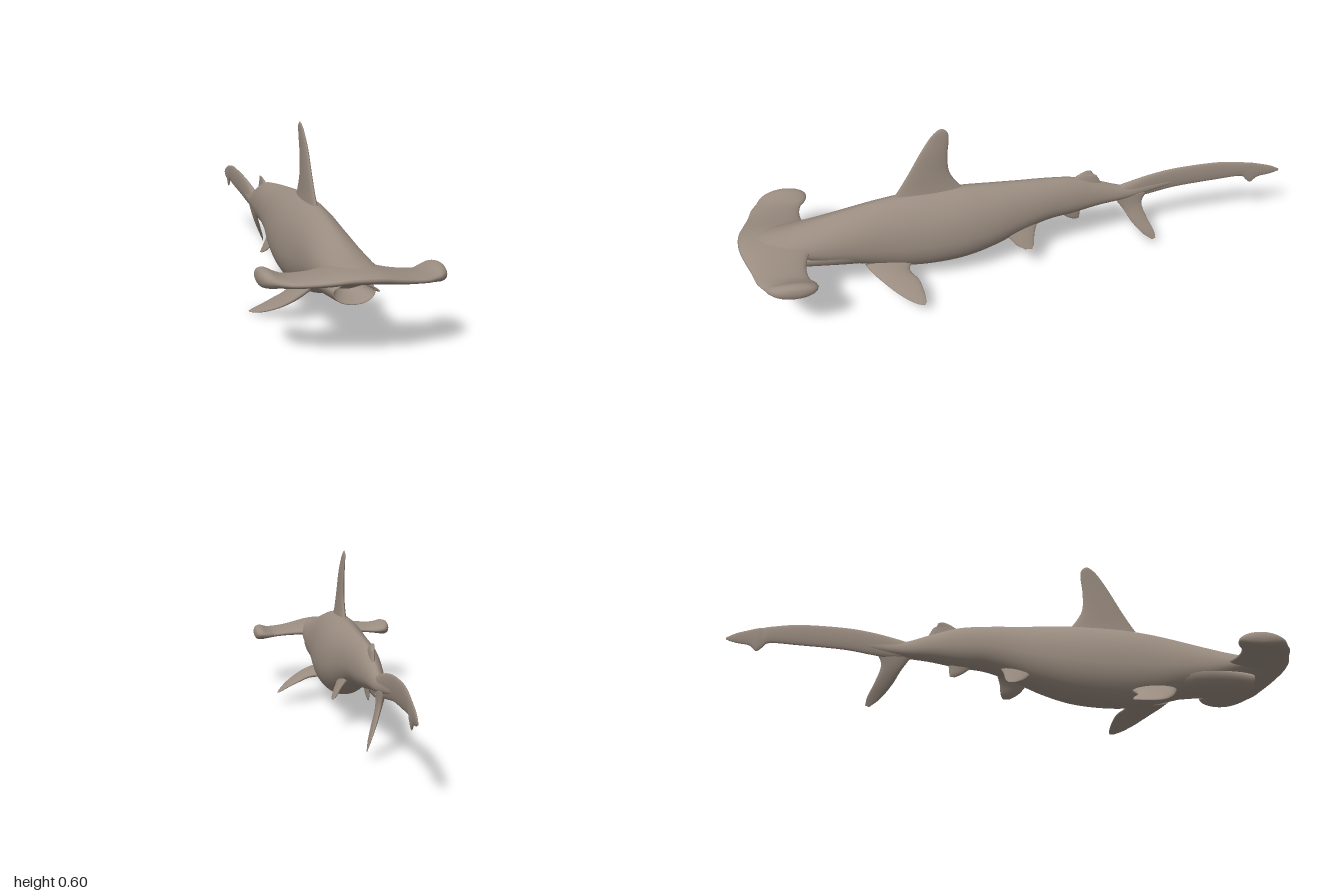
import * as THREE from 'three';

const skin = new THREE.MeshStandardMaterial({ color: 0x9a8c80 });
skin.name = 'grey brown skin';

// Smoothly resample rows of numbers, n steps between neighbours
function resample(rows, n) {
  const size = rows[0].length;
  const curve = new THREE.CubicInterpolant(rows.map((_, i) => i), rows.flat(), size, new Float32Array(size));
  const out = [];
  const last = (rows.length - 1) * n;
  for (let i = 0; i <= last; i++) out.push(Array.from(curve.evaluate(i / n)));
  return out;
}

// Closed skin through rings of equal point count, capped at both ends
function loft(name, rings) {
  const m = rings[0].length, pos = [];
  let index = [];
  rings.forEach(r => r.forEach(p => pos.push(p.x, p.y, p.z)));
  for (let i = 0; i < rings.length - 1; i++) {
    for (let j = 0; j < m; j++) {
      const a = i * m + j, b = i * m + (j + 1) % m;
      index.push(a, b, a + m, b, b + m, a + m);
    }
  }
  [0, rings.length - 1].forEach((r, end) => {
    const c = new THREE.Vector3();
    rings[r].forEach(p => c.addScaledVector(p, 1 / m));
    const k = pos.length / 3;
    pos.push(c.x, c.y, c.z);
    for (let j = 0; j < m; j++) {
      const a = r * m + j, b = r * m + (j + 1) % m;
      if (end) index.push(a, b, k); else index.push(b, a, k);
    }
  });
  // Turn the faces outward using the signed volume
  const v = i => new THREE.Vector3().fromArray(pos, i * 3);
  let volume = 0;
  for (let i = 0; i < index.length; i += 3) {
    volume += v(index[i]).dot(v(index[i + 1]).cross(v(index[i + 2])));
  }
  if (volume < 0) index = index.reverse();
  const g = new THREE.BufferGeometry();
  g.setAttribute('position', new THREE.Float32BufferAttribute(pos, 3));
  g.setIndex(index);
  g.computeVertexNormals();
  const mesh = new THREE.Mesh(g, skin);
  mesh.name = name;
  return mesh;
}

// Trunk from stations [z, top, bottom, halfWidth, centreX], widest below the middle
function trunk(name, stations, belly = 0.42) {
  return loft(name, resample(stations, 6).map(([z, top, bottom, w, x]) => {
    const mid = bottom + (top - bottom) * belly, ring = [];
    for (let j = 0; j < 40; j++) {
      const t = j / 40 * Math.PI * 2, c = Math.cos(t), s = Math.sin(t);
      const px = s > 0 ? Math.sign(c) * Math.abs(c) ** 1.2 : c;
      ring.push(new THREE.Vector3(x + w * px, mid + s * (s > 0 ? top - mid : mid - bottom), z));
    }
    return ring;
  }));
}

// Fin from sections [leading xyz, trailing xyz, halfThickness]
function fin(name, sections, normal) {
  const up = new THREE.Vector3(...normal).normalize();
  return loft(name, resample(sections, 6).map(s => {
    const lead = new THREE.Vector3(s[0], s[1], s[2]), trail = new THREE.Vector3(s[3], s[4], s[5]);
    const ring = [];
    for (let j = 0; j < 24; j++) {
      const t = j / 24 * Math.PI * 2;
      ring.push(lead.clone().lerp(trail, (1 - Math.cos(t)) / 2)
        .addScaledVector(up, Math.sin(t) * Math.max(s[6], 0.001)));
    }
    return ring;
  }));
}

// Upright fin from rows [x, leadY, leadZ, trailY, trailZ, halfThickness]
const uprightFin = (name, rows) =>
  fin(name, rows.map(([x, ly, lz, ty, tz, h]) => [x, ly, lz, x, ty, tz, h]), [1, 0, 0]);

export function createModel() {
  const shark = new THREE.Group();
  shark.name = 'shark';

  shark.add(trunk('body', [
    [0.985, 0.25, 0.236, 0.05, 0], [0.9, 0.264, 0.21, 0.072, 0], [0.8, 0.28, 0.175, 0.084, 0],
    [0.7, 0.302, 0.135, 0.088, 0], [0.6, 0.325, 0.108, 0.088, 0], [0.5, 0.345, 0.08, 0.09, 0],
    [0.4, 0.357, 0.062, 0.096, 0], [0.3, 0.36, 0.06, 0.1, 0], [0.2, 0.36, 0.07, 0.097, 0],
    [0.1, 0.353, 0.097, 0.086, -0.002], [0, 0.345, 0.135, 0.07, -0.006], [-0.1, 0.336, 0.165, 0.058, -0.012],
    [-0.2, 0.322, 0.173, 0.047, -0.017], [-0.3, 0.288, 0.188, 0.034, -0.02], [-0.4, 0.253, 0.197, 0.021, -0.021],
    [-0.5, 0.252, 0.212, 0.012, -0.025], [-0.65, 0.256, 0.24, 0.004, -0.029],
  ]));

  // Lower jaw, starting inside the open mouth and folding over the lip
  shark.add(trunk('jaw', [
    [0.77, 0.2, 0.165, 0.03, 0], [0.835, 0.2, 0.148, 0.056, 0], [0.855, 0.2, 0.139, 0.063, 0],
    [0.84, 0.205, 0.134, 0.068, 0], [0.75, 0.215, 0.128, 0.08, 0],
    [0.65, 0.22, 0.116, 0.084, 0], [0.55, 0.22, 0.1, 0.075, 0],
  ], 0.6));

  // Hammer head: [x, front z, back z, front y, back y, halfThickness]
  const half = [
    [0.05, 0.99, 0.74, 0.24, 0.225, 0.023], [0.1, 0.975, 0.765, 0.232, 0.22, 0.02],
    [0.15, 0.957, 0.775, 0.225, 0.217, 0.017], [0.2, 0.943, 0.768, 0.222, 0.214, 0.016],
    [0.23, 0.925, 0.748, 0.222, 0.216, 0.02], [0.255, 0.91, 0.742, 0.224, 0.22, 0.027],
    [0.272, 0.89, 0.752, 0.224, 0.221, 0.026], [0.281, 0.865, 0.775, 0.224, 0.222, 0.018],
    [0.285, 0.84, 0.8, 0.224, 0.222, 0.006],
  ];
  const hammer = [
    ...half.map(([x, ...r]) => [-x, ...r]).reverse(),
    [0, 0.995, 0.73, 0.242, 0.228, 0.025], ...half,
  ];
  shark.add(fin('hammerHead', hammer.map(([x, fz, bz, fy, by, h]) => {
    const tilt = -0.02 * x;
    return [x, fy + tilt, fz, x, by + tilt, bz, h];
  }), [0, 1, 0]));

  shark.add(uprightFin('dorsalFin', [
    [-0.002, 0.32, 0.47, 0.33, 0.18, 0.02], [-0.003, 0.375, 0.43, 0.375, 0.218, 0.014],
    [-0.004, 0.44, 0.39, 0.43, 0.248, 0.011], [-0.005, 0.52, 0.345, 0.5, 0.251, 0.009],
    [-0.008, 0.575, 0.308, 0.56, 0.244, 0.006], [-0.01, 0.597, 0.285, 0.588, 0.247, 0.004],
    [-0.011, 0.605, 0.27, 0.601, 0.258, 0.001],
  ]));
  shark.add(uprightFin('secondDorsalFin', [
    [-0.018, 0.3, -0.18, 0.28, -0.31, 0.012], [-0.02, 0.323, -0.215, 0.314, -0.292, 0.007],
    [-0.023, 0.335, -0.24, 0.322, -0.28, 0.004], [-0.026, 0.339, -0.258, 0.334, -0.274, 0.001],
  ]));
  shark.add(uprightFin('analFin', [
    [-0.015, 0.2, -0.13, 0.2, -0.24, 0.012], [-0.015, 0.168, -0.16, 0.17, -0.232, 0.008],
    [-0.015, 0.148, -0.185, 0.148, -0.23, 0.005], [-0.015, 0.135, -0.21, 0.137, -0.228, 0.001],
  ]));

  // Tail
  shark.add(uprightFin('upperTailLobe', [
    [-0.02, 0.25, -0.36, 0.2, -0.36, 0.018], [-0.022, 0.266, -0.42, 0.19, -0.42, 0.015],
    [-0.026, 0.283, -0.5, 0.198, -0.5, 0.011], [-0.029, 0.294, -0.6, 0.211, -0.6, 0.009],
    [-0.027, 0.297, -0.75, 0.219, -0.75, 0.008], [-0.022, 0.286, -0.85, 0.224, -0.85, 0.007],
    [-0.02, 0.281, -0.875, 0.206, -0.875, 0.006], [-0.02, 0.278, -0.895, 0.192, -0.895, 0.006],
    [-0.019, 0.271, -0.92, 0.212, -0.92, 0.005], [-0.017, 0.257, -0.965, 0.22, -0.965, 0.004],
    [-0.015, 0.239, -1, 0.231, -1, 0.001],
  ]));
  shark.add(uprightFin('lowerTailLobe', [
    [-0.021, 0.22, -0.35, 0.22, -0.49, 0.014], [-0.012, 0.155, -0.395, 0.17, -0.467, 0.01],
    [0.008, 0.105, -0.425, 0.11, -0.486, 0.007], [0.028, 0.06, -0.462, 0.065, -0.508, 0.004],
    [0.04, 0.03, -0.5, 0.036, -0.514, 0.001],
  ]));

  // Paired fins: the right pectoral hangs lower than the left
  for (const [side, name, tipX, tipY] of [[1, 'left', 0.232, 0.045], [-1, 'right', 0.213, 0.004]]) {
    const rows = [
      [0, 0.57, 0.4, 0.018], [0.25, 0.548, 0.418, 0.014], [0.5, 0.515, 0.393, 0.01],
      [0.75, 0.472, 0.383, 0.007], [0.92, 0.43, 0.381, 0.004], [1, 0.4, 0.385, 0.001],
    ];
    shark.add(fin(name + 'PectoralFin', rows.map(([t, lz, tz, h]) => {
      const x = side * THREE.MathUtils.lerp(0.055, tipX, t);
      const y = THREE.MathUtils.lerp(0.115, tipY, t) + 0.012 * Math.sin(t * Math.PI) * side;
      return [x, y, lz, x, y - 0.008 * (1 - t), tz, h];
    }), [side * (0.115 - tipY), tipX - 0.055, 0]));

    shark.add(fin(name + 'PelvicFin', [
      [side * 0.03, 0.18, 0.08, side * 0.03, 0.18, -0.06, 0.014],
      [side * 0.052, 0.145, 0.05, side * 0.052, 0.145, -0.045, 0.009],
      [side * 0.068, 0.118, 0.025, side * 0.068, 0.115, -0.04, 0.006],
      [side * 0.08, 0.102, -0.005, side * 0.08, 0.1, -0.03, 0.001],
    ], [side * 0.8, 0.5, 0]));
  }
  return shark;
}
